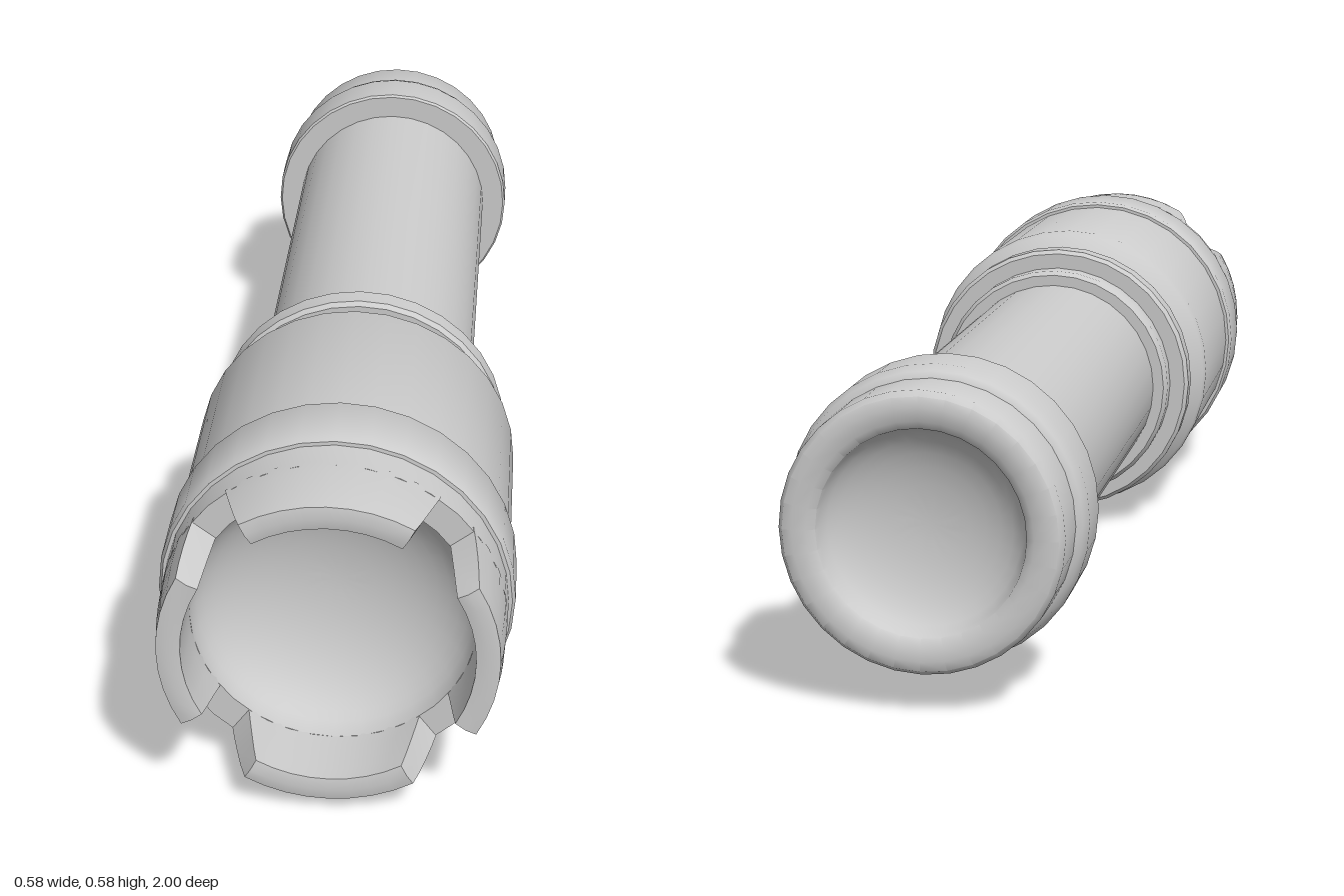
import * as THREE from 'three';
import { toCreasedNormals } from 'three/addons/utils/BufferGeometryUtils.js';

const SIDES = 32;
const AXIS_Y = 0.288;

export function createModel() {
  const model = new THREE.Group();
  model.name = 'flashlight';
  const material = new THREE.MeshStandardMaterial({ color: 0xcccccc });

  function add(name, geometry, crease = 0.65) {
    const mesh = new THREE.Mesh(toCreasedNormals(geometry, crease), material);
    mesh.name = name;
    mesh.position.y = AXIS_Y;
    model.add(mesh);
  }

  // Turned part: profile of [radius, z], outside runs from back to front
  function turned(name, profile, crease) {
    const points = profile.map(([r, z]) => new THREE.Vector2(r, z));
    add(name, new THREE.LatheGeometry(points, SIDES).rotateX(Math.PI / 2), crease);
  }

  // Shallow dish profile from the rim to the centre
  function dish(radius, z, depth, steps = 8) {
    return Array.from({ length: steps + 1 }, (_, i) => {
      const a = (i / steps) * Math.PI / 2;
      return [i === steps ? 0 : radius * Math.cos(a), z + depth * Math.sin(a)];
    });
  }

  // Tail cap with a dished end
  turned('tailCap', [
    ...dish(0.165, -0.99, 0.07).reverse(),
    [0.178, -0.998], [0.2, -1], [0.216, -0.997], [0.224, -0.985],
    [0.225, -0.9], [0.225, -0.88],
  ], 0.8);
  turned('tailRing', [
    [0.19, -0.905], [0.222, -0.903], [0.235, -0.893], [0.242, -0.87],
    [0.242, -0.785], [0.238, -0.78], [0.19, -0.78],
  ]);

  // Handle and collar
  turned('handle', [[0.195, -0.8], [0.195, 0.19]]);
  turned('collarStep', [
    [0.19, 0.165], [0.215, 0.165], [0.222, 0.175], [0.222, 0.22],
  ]);
  turned('collarRing', [
    [0.21, 0.21], [0.25, 0.21], [0.257, 0.218],
    [0.257, 0.257], [0.25, 0.265], [0.21, 0.265],
  ]);

  // Flared head and its band
  turned('head', [
    [0.225, 0.25], [0.225, 0.297], [0.272, 0.33], [0.277, 0.34], [0.277, 0.72],
  ]);
  turned('headBand', [
    [0.26, 0.69], [0.283, 0.69], [0.288, 0.698],
    [0.288, 0.808], [0.283, 0.818], [0.26, 0.82],
  ]);

  // Rim under the teeth, running into the reflector bowl
  turned('rim', [[0.277, 0.81], [0.276, 0.88], [0.23, 0.88]]);
  turned('reflector', dish(0.23, 0.88, -0.12, 12), 0.8);

  // Four crown teeth: boxes bent round the axis, narrower at the tip
  for (let i = 0; i < 4; i++) {
    const tooth = new THREE.BoxGeometry(1, 1, 1, 8, 2, 4);
    const p = tooth.attributes.position;
    for (let v = 0; v < p.count; v++) {
      const t = p.getZ(v) + 0.5;
      const across = p.getY(v) + 0.5;
      const halfAngle = THREE.MathUtils.degToRad(37.5 - 7.5 * t);
      const angle = i * Math.PI / 2 + p.getX(v) * 2 * halfAngle;
      const outer = 0.276 - 0.008 * t * t;
      const radius = THREE.MathUtils.lerp(0.23, outer, across);
      const z = 0.87 + 0.13 * t - (t === 1 && across !== 0.5 ? 0.004 : 0);
      p.setXYZ(v, radius * Math.sin(angle), radius * Math.cos(angle), z);
    }
    add('crownTooth' + (i + 1), tooth);
  }

  return model;
}
